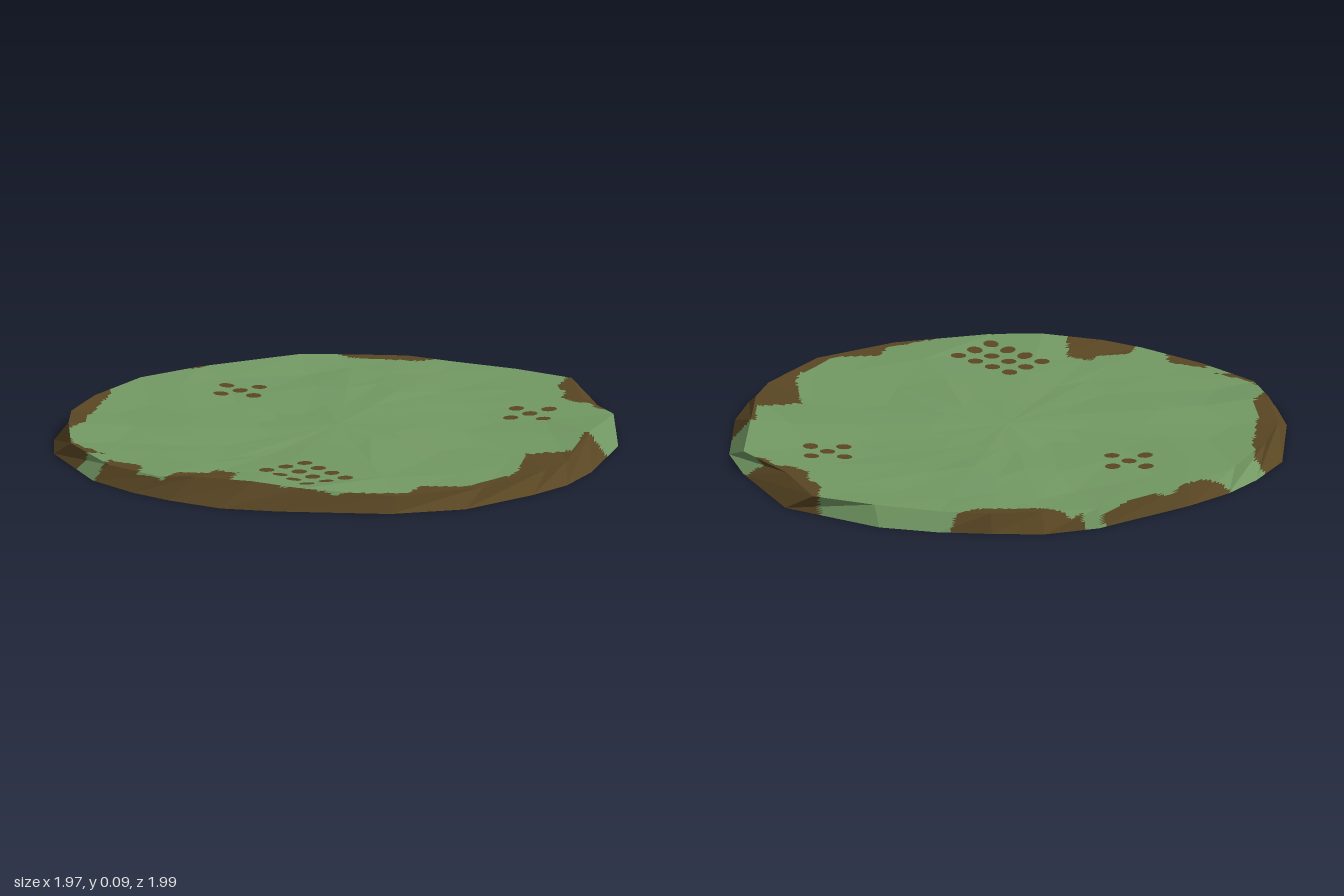
import * as THREE from 'three';

const grassMat = new THREE.MeshStandardMaterial({ color: 0x729863 });
const earthMat = new THREE.MeshStandardMaterial({ color: 0x594623 });
grassMat.name = 'grass green';
earthMat.name = 'earth brown';

// Foot outline and rim, clockwise from the back: foot x, foot z, rim x, rim z, rim height
const OUTLINE = [
  [0.00, -1.00, 0.00, -0.955, 0.062], [0.21, -1.00, 0.24, -0.95, 0.065],
  [0.58, -0.88, 0.47, -0.92, 0.066], [0.81, -0.57, 0.62, -0.70, 0.066],
  [0.91, -0.38, 0.82, -0.53, 0.070], [0.98, -0.02, 0.87, -0.23, 0.082],
  [0.98, 0.18, 0.93, 0.08, 0.058], [0.93, 0.35, 0.92, 0.22, 0.062],
  [0.80, 0.63, 0.82, 0.52, 0.060], [0.59, 0.80, 0.60, 0.76, 0.055],
  [0.22, 0.94, 0.28, 0.875, 0.075], [0.02, 0.99, 0.10, 0.895, 0.085],
  [-0.19, 0.97, -0.12, 0.90, 0.078], [-0.35, 0.93, -0.26, 0.90, 0.062],
  [-0.55, 0.84, -0.50, 0.81, 0.055], [-0.83, 0.57, -0.73, 0.64, 0.066],
  [-0.91, 0.40, -0.83, 0.45, 0.085], [-0.99, 0.02, -0.92, 0.24, 0.066],
  [-0.95, -0.19, -0.93, 0.03, 0.070], [-0.89, -0.35, -0.89, -0.26, 0.070],
  [-0.79, -0.51, -0.77, -0.49, 0.068], [-0.54, -0.82, -0.53, -0.80, 0.066],
  [-0.37, -0.93, -0.35, -0.88, 0.066], [-0.19, -0.97, -0.18, -0.945, 0.066],
];
const N = OUTLINE.length;

// Bare earth patches in plan (x, z), running out past the edge
const PATCHES = [
  [[-0.48, -0.83], [-0.45, -0.86], [-0.34, -0.84], [-0.12, -0.90], [-0.05, -0.97], [-0.05, -1.1], [-0.6, -1.0]],
  [[-0.92, -0.32], [-0.85, -0.36], [-0.76, -0.48], [-0.74, -0.54], [-0.65, -0.64], [-0.54, -0.80], [-0.8, -0.8]],
  [[0.44, -0.95], [0.48, -0.78], [0.53, -0.75], [0.55, -0.67], [0.62, -0.63], [0.67, -0.64], [0.74, -0.57],
    [0.80, -0.59], [1, -0.7], [0.7, -1.1]],
  [[1.1, -0.22], [0.85, -0.23], [0.90, -0.04], [0.84, 0.0], [0.76, 0.05], [0.83, 0.26], [0.84, 0.34],
    [0.79, 0.47], [0.76, 0.55], [0.62, 0.60], [0.61, 0.70], [0.54, 0.76], [0.40, 0.84], [0.22, 0.885],
    [0.01, 0.895], [-0.03, 0.74], [-0.12, 0.73], [-0.13, 0.78], [-0.23, 0.82], [-0.24, 0.91], [-0.36, 0.87],
    [-0.38, 0.78], [-0.52, 0.76], [-0.54, 0.85], [-0.5, 1.2], [1.2, 1.2]],
  [[-0.58, 0.70], [-0.73, 0.63], [-0.80, 0.50], [-0.79, 0.41], [-0.83, 0.30], [-0.89, 0.0], [-0.92, -0.10],
    [-1.1, -0.11], [-1.1, 0.7], [-0.67, 0.72]],
];

function inside(x, z, poly) {
  let hit = false;
  for (let i = 0, j = poly.length - 1; i < poly.length; j = i++) {
    const [ax, az] = poly[i], [bx, bz] = poly[j];
    if ((az > z) !== (bz > z) && x < (bx - ax) * (z - az) / (bz - az) + ax) hit = !hit;
  }
  return hit;
}

// Gentle uneven ground
const ground = (x, z) => 0.06 + 0.009 * Math.sin(6 * x + 4 * z + 0.6) * Math.cos(7 * z - 2 * x);

// Rings of points: foot, rim, then inner rings turned and wobbled for irregular facets
function makeRings() {
  const v = (x, y, z) => new THREE.Vector3(x, y, z);
  const rings = [OUTLINE.map((p) => v(p[0], 0, p[1])), OUTLINE.map((p) => v(p[2], p[4], p[3]))];
  for (const s of [0.8, 0.55, 0.28]) {
    rings.push(OUTLINE.map((p, i) => {
      const k = s + 0.05 * Math.sin(i * 2.6 + s * 9);
      return v(p[2] * k, ground(p[2] * k, p[3] * k), p[3] * k);
    }));
  }
  return rings;
}

function makeFacets(rings) {
  const facets = [];
  for (let r = 0; r < rings.length - 1; r++) {
    for (let i = 0; i < N; i++) {
      const j = (i + 1) % N, o = rings[r], n = rings[r + 1];
      facets.push([n[i], n[j], o[j]], [n[i], o[j], o[i]]);
    }
  }
  const last = rings[rings.length - 1], centre = new THREE.Vector3(0, ground(0, 0), 0);
  for (let i = 0; i < N; i++) facets.push([centre, last[(i + 1) % N], last[i]]);
  return facets;
}

// Cut each facet into small flat pieces and sort them into grass or earth
function sortFacets(facets) {
  const out = { grass: [], earth: [] }, S = 12;
  for (const [a, b, c] of facets) {
    const at = (i, j) => a.clone().multiplyScalar((S - i - j) / S).addScaledVector(b, i / S).addScaledVector(c, j / S);
    const put = (p, q, r) => {
      const x = (p.x + q.x + r.x) / 3, z = (p.z + q.z + r.z) / 3;
      const bare = PATCHES.some((poly) => inside(x, z, poly));
      out[bare ? 'earth' : 'grass'].push(p, q, r);
    };
    for (let i = 0; i < S; i++) {
      for (let j = 0; j < S - i; j++) {
        put(at(i, j), at(i + 1, j), at(i, j + 1));
        if (i + j < S - 1) put(at(i + 1, j), at(i + 1, j + 1), at(i, j + 1));
      }
    }
  }
  return out;
}

function flatMesh(points, material, name) {
  const geo = new THREE.BufferGeometry().setFromPoints(points);
  geo.computeVertexNormals();
  const mesh = new THREE.Mesh(geo, material);
  mesh.name = name;
  return mesh;
}

export function createModel() {
  const model = new THREE.Group();
  model.name = 'groundPatch';
  const rings = makeRings();
  const facets = makeFacets(rings);
  const { grass, earth } = sortFacets(facets);
  model.add(flatMesh(grass, grassMat, 'grassSurface'), flatMesh(earth, earthMat, 'bareEarth'));

  // Flat underside
  const under = [];
  rings[0].forEach((p, i) => under.push(new THREE.Vector3(), p, rings[0][(i + 1) % N]));
  model.add(flatMesh(under, earthMat, 'underside'));

  // Planting holes: thin discs laid on the facet below them
  const holes = new THREE.Group();
  holes.name = 'plantingSpots';
  const disc = new THREE.CircleGeometry(0.028, 10);
  const up = new THREE.Vector3(0, 0, 1);
  const addSpot = (x, z) => {
    const ray = new THREE.Ray(new THREE.Vector3(x, 1, z), new THREE.Vector3(0, -1, 0));
    const hit = new THREE.Vector3();
    const f = facets.find(([a, b, c]) => ray.intersectTriangle(a, b, c, true, hit));
    if (!f) return;
    const normal = new THREE.Triangle(...f).getNormal(new THREE.Vector3());
    const spot = new THREE.Mesh(disc, earthMat);
    spot.name = 'plantingSpot';
    spot.position.copy(hit).addScaledVector(normal, 0.004);
    spot.quaternion.setFromUnitVectors(up, normal);
    holes.add(spot);
  };
  const U = [0.072, 0.041], V = [-0.041, 0.07];
  for (const [cx, cz] of [[-0.51, -0.275], [0.54, -0.435]]) {
    for (const [u, v] of [[0, 0], [1, 0], [-1, 0], [0, 1], [0, -1]]) {
      addSpot(cx + u * U[0] + v * V[0], cz + u * U[1] + v * V[1]);
    }
  }
  for (let u = 0; u < 4; u++) {
    for (let v = 0; v < 3; v++) addSpot(0.125 + u * U[0] + v * V[0], 0.525 + u * U[1] + v * V[1]);
  }
  model.add(holes);
  return model;
}
